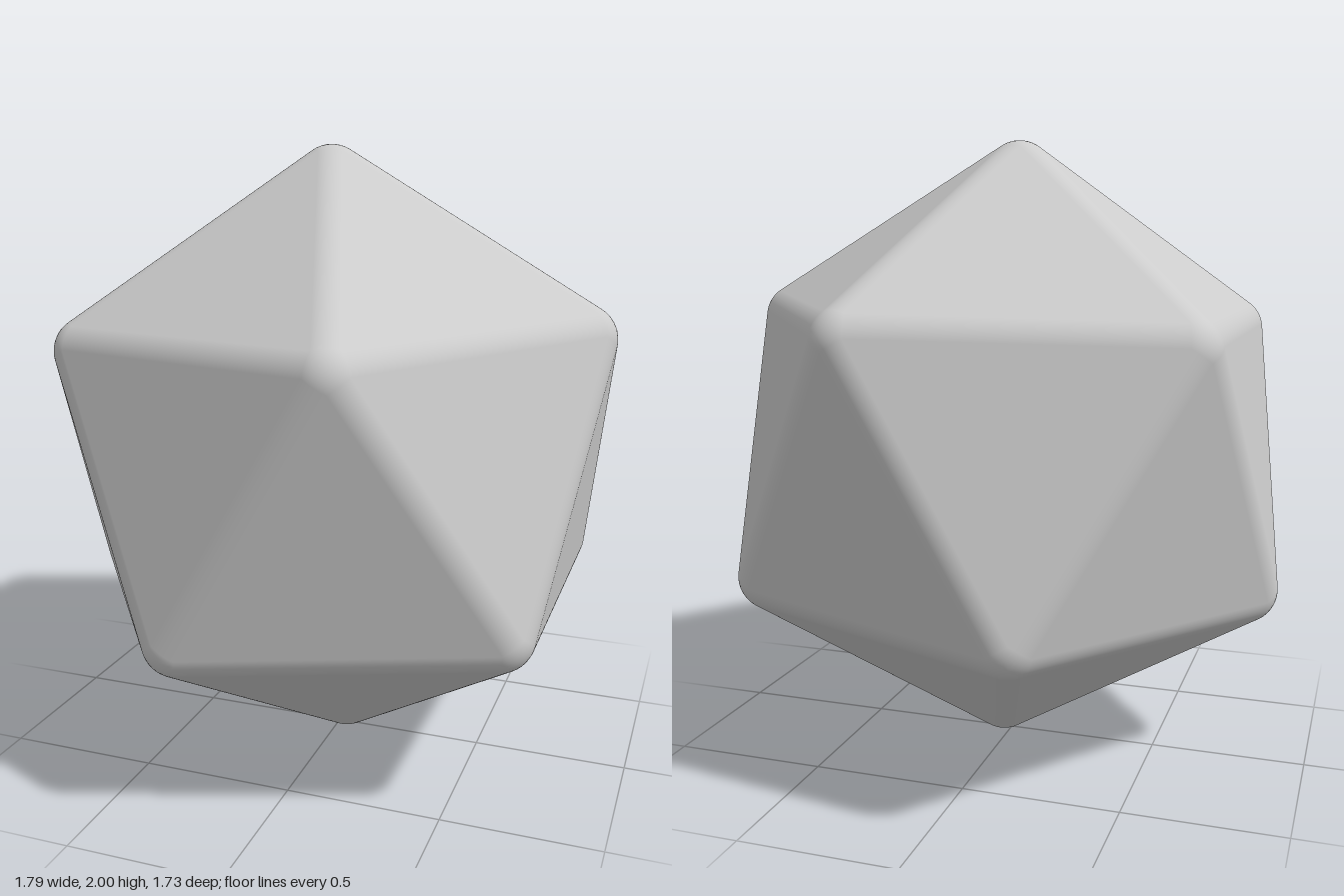
import * as THREE from 'three';

const CORE = 0.89;   // circumradius of the sharp inner icosahedron
const ROUND = 0.11;  // rounding radius of edges and corners
const STEPS = 4;     // segments per half edge

function roundedIcosahedron() {
  const positions = [], normals = [];
  const push = (corner, n) => {
    positions.push(...corner.clone().multiplyScalar(CORE).addScaledVector(n, ROUND).toArray());
    normals.push(n.x, n.y, n.z);
  };
  const mid = (a, b) => a.clone().add(b).normalize();
  const blend = (a, b, t) => a.clone().lerp(b, t);

  const src = new THREE.IcosahedronGeometry(1, 0).attributes.position;
  for (let f = 0; f < src.count; f += 3) {
    const v = [0, 1, 2].map(i => new THREE.Vector3().fromBufferAttribute(src, f + i).normalize());
    const n = v[0].clone().add(v[1]).add(v[2]).normalize();

    // Flat triangular face
    v.forEach(corner => push(corner, n));

    for (let i = 0; i < 3; i++) {
      const a = v[i], b = v[(i + 1) % 3], c = v[(i + 2) % 3];
      const mAB = mid(a, b), mCA = mid(c, a);

      // Half of the rounded edge, from the face to the edge's middle line
      const edgeDir = k => blend(n, mAB, k / STEPS).normalize();
      for (let k = 0; k < STEPS; k++) {
        const d0 = edgeDir(k), d1 = edgeDir(k + 1);
        push(a, d0); push(a, d1); push(b, d1);
        push(a, d0); push(b, d1); push(b, d0);
      }

      // This face's fifth of the spherical corner
      const capDir = (s, t) => blend(
        blend(n, mCA, s / STEPS).normalize(),
        blend(mAB, a, s / STEPS).normalize(), t / STEPS).normalize();
      for (let s = 0; s < STEPS; s++) {
        for (let t = 0; t < STEPS; t++) {
          const d00 = capDir(s, t), d10 = capDir(s + 1, t);
          const d11 = capDir(s + 1, t + 1), d01 = capDir(s, t + 1);
          push(a, d00); push(a, d10); push(a, d11);
          push(a, d00); push(a, d11); push(a, d01);
        }
      }
    }
  }

  const g = new THREE.BufferGeometry();
  g.setAttribute('position', new THREE.Float32BufferAttribute(positions, 3));
  g.setAttribute('normal', new THREE.Float32BufferAttribute(normals, 3));
  return g;
}

export function createModel() {
  const group = new THREE.Group();
  const body = new THREE.Mesh(
    roundedIcosahedron(),
    new THREE.MeshStandardMaterial({ color: 0xcccccc })
  );
  body.name = 'roundedIcosahedron';
  // Leans slightly off its upright corner
  body.rotation.z = -Math.PI / 6;
  body.position.y = 1;
  group.add(body);
  return group;
}
